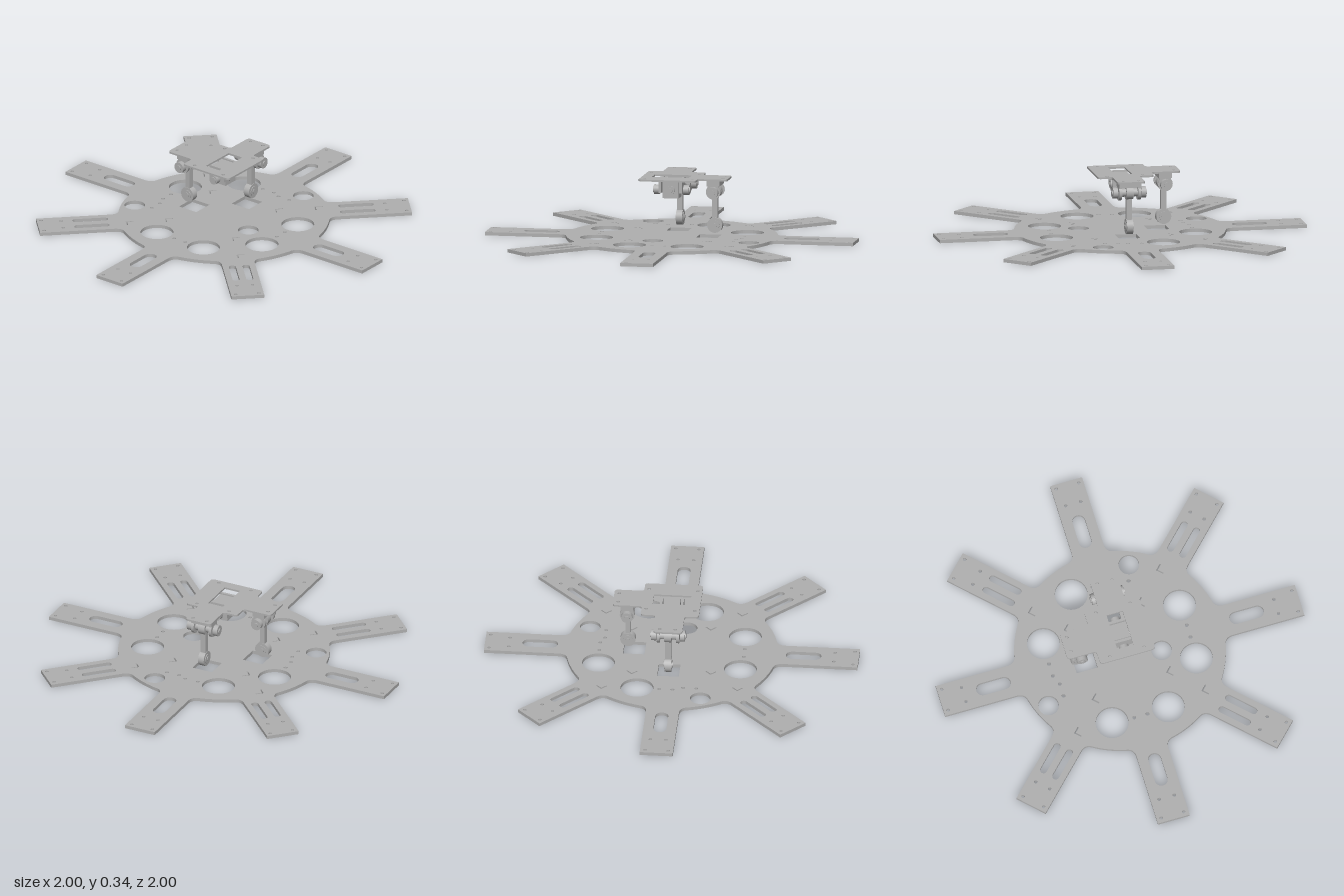
import * as THREE from 'three';

const metal = new THREE.MeshStandardMaterial({ color: 0xb0b0b0 });
metal.name = 'grey metal';

function add(parent, name, geometry, x = 0, y = 0, z = 0) {
  const mesh = new THREE.Mesh(geometry, metal);
  mesh.name = name;
  mesh.position.set(x, y, z);
  parent.add(mesh);
  return mesh;
}

// Flat sheet drawn in x/z, lying between y = 0 and y = thickness
function sheet(shape, thickness) {
  return new THREE.ExtrudeGeometry(shape, { depth: thickness, bevelEnabled: false, curveSegments: 20 })
    .rotateX(Math.PI / 2).translate(0, thickness, 0);
}

const box = (w, h, d) => new THREE.BoxGeometry(w, h, d);
const axleZ = (r, length) => new THREE.CylinderGeometry(r, r, length, 32).rotateX(Math.PI / 2);
const axleX = (r, length) => new THREE.CylinderGeometry(r, r, length, 32).rotateZ(Math.PI / 2);

function hole(shape, x, z, r) {
  const p = new THREE.Path();
  p.absarc(x, z, r, 0, Math.PI * 2, true);
  shape.holes.push(p);
}

function polyHole(shape, points) {
  shape.holes.push(new THREE.Path(points.map(([x, z]) => new THREE.Vector2(x, z))));
}

// Rounded slot running along an arm that points in direction a
function slot(shape, a, from, to, side, r) {
  const at = u => [u * Math.cos(a) - side * Math.sin(a), u * Math.sin(a) + side * Math.cos(a)];
  const p = new THREE.Path();
  p.absarc(...at(to - r), r, a - Math.PI / 2, a + Math.PI / 2, false);
  p.absarc(...at(from + r), r, a + Math.PI / 2, a + Math.PI * 1.5, false);
  p.closePath();
  shape.holes.push(p);
}

// Round base plate with eight arms
function basePlate() {
  const R = 0.565, half = 0.0885, turn = Math.PI / 4;
  const s = new THREE.Shape();
  const neck = Math.sqrt(R * R - half * half);
  const spread = Math.asin(half / R) + 0.07;
  for (let i = 0; i < 8; i++) {
    const a = i * turn;
    const at = (u, v) => [u * Math.cos(a) - v * Math.sin(a), u * Math.sin(a) + v * Math.cos(a)];
    const onRim = t => at(R * Math.cos(t), R * Math.sin(t));
    if (i === 0) s.moveTo(...onRim(-spread));
    s.quadraticCurveTo(...at(neck, -half), ...at(neck + 0.045, -half));
    s.lineTo(...at(1, -half));
    s.lineTo(...at(1, half));
    s.lineTo(...at(neck + 0.045, half));
    s.quadraticCurveTo(...at(neck, half), ...onRim(spread));
    s.absarc(0, 0, R, a + spread, a + turn - spread, false);

    // Slots and screw holes of this arm
    if (i % 2) for (const v of [-0.037, 0.037]) slot(s, a, 0.62, 0.81, v, 0.019);
    else slot(s, a, 0.61, 0.8, 0, 0.035);
    for (const v of [-1, 1]) {
      hole(s, ...at(0.87, v * 0.042), 0.009);
      hole(s, ...at(0.975, v * 0.062), 0.009);
    }
  }
  // Lightening holes
  for (const [x, z] of [[-0.38, -0.158], [0.38, -0.158], [-0.38, 0.155], [0.155, -0.38], [-0.158, 0.378], [0.155, 0.378]])
    hole(s, x, z, 0.088);
  for (const [x, z] of [[-0.19, -0.455], [-0.063, 0.213], [0.453, 0.185]]) hole(s, x, z, 0.055);
  // Small screw holes
  for (const [x, z] of [[-0.16, -0.363], [-0.09, -0.363], [-0.035, -0.385], [0.035, -0.385], [-0.035, 0.382], [0.035, 0.382],
    [-0.387, -0.037], [-0.387, 0.037], [0.387, -0.037], [0.387, 0.037], [0.365, 0.085], [0.365, 0.157]])
    hole(s, x, z, 0.01);
  // Square openings below the two legs
  for (const [x, z] of [[0.2, 0], [0, -0.2]]) {
    const h = 0.058;
    polyHole(s, [[x - h, z - h], [x + h, z - h], [x + h, z + h], [x - h, z + h]]);
  }
  // Fine chevron slits
  for (const [x, z, d] of [[-0.38, -0.34, -1], [-0.225, -0.195, -1], [0.345, -0.38, 1], [0.195, -0.225, 1],
    [0.23, 0.195, 1], [0.38, 0.345, 1], [-0.19, 0.23, -1], [-0.345, 0.38, -1]]) {
    const l = 0.03, w = 0.005;
    polyHole(s, [[x - d * l, z], [x, z - l], [x + d * l, z], [x + d * (l - w), z + w], [x, z - l + 2 * w], [x - d * (l - w), z + w]]);
  }
  return sheet(s, 0.018);
}

// Upper mounting plate: a square with two tabs
function topPlate() {
  const corners = [[-0.155, -0.155], [-0.08, -0.155], [-0.08, -0.315], [0.075, -0.315], [0.075, -0.155], [0.155, -0.155],
    [0.155, -0.075], [0.312, -0.075], [0.312, 0.075], [0.155, 0.075], [0.155, 0.15], [-0.155, 0.15]]
    .map(c => new THREE.Vector2(...c));
  const s = new THREE.Shape(), n = corners.length, r = 0.02;
  corners.forEach((c, i) => {
    const a = corners[(i + n - 1) % n].clone().sub(c).setLength(r).add(c);
    const b = corners[(i + 1) % n].clone().sub(c).setLength(r).add(c);
    if (i) s.lineTo(a.x, a.y); else s.moveTo(a.x, a.y);
    s.quadraticCurveTo(c.x, c.y, b.x, b.y);
  });
  s.closePath();
  for (const x of [-0.13, 0.13]) for (const z of [-0.096, 0.096]) hole(s, x, z, 0.009);
  for (const v of [-0.041, 0.041]) {
    hole(s, v, -0.285, 0.009);
    hole(s, 0.285, v, 0.009);
  }
  polyHole(s, [[-0.1, -0.045], [0.1, -0.045], [0.1, 0.045], [-0.1, 0.045]]);
  return sheet(s, 0.01);
}

// Hanging leg with a hinge at the top and a roller at the foot
function leg(name) {
  const g = new THREE.Group();
  g.name = name;
  const x = 0.235, y = 0.265;
  add(g, 'hingeMount', box(0.07, 0.03, 0.12), x, 0.311);
  for (const s of [-1, 1]) {
    add(g, 'hingeEar', box(0.06, 0.06, 0.016), x, 0.29, s * 0.052);
    add(g, 'earDisc', axleZ(0.04, 0.016), x, y, s * 0.052);
    add(g, 'hingeCap', axleZ(0.03, 0.026), x, y, s * 0.077);
    add(g, 'hingeBolt', axleZ(0.014, 0.008), x, y, s * 0.092);
  }
  add(g, 'hingeAxle', axleZ(0.022, 0.12), x, y);
  add(g, 'hingeHub', axleZ(0.037, 0.038), x, y);
  add(g, 'legBar', box(0.028, 0.16, 0.03), x, 0.172);
  add(g, 'footRoller', axleZ(0.041, 0.035), x, 0.08);
  add(g, 'rollerBearing', axleZ(0.026, 0.042), x, 0.08);
  add(g, 'rollerBolt', axleZ(0.012, 0.05), x, 0.08);
  return g;
}

// Central pivot block with its cross shaft
function centrePivot() {
  const g = new THREE.Group();
  g.name = 'centrePivot';
  add(g, 'pivotBlock', box(0.088, 0.1, 0.088), 0, 0.272);
  add(g, 'crossShaft', axleX(0.018, 0.2), 0, 0.263);
  for (const s of [-1, 1]) {
    add(g, 'shaftCollar', axleX(0.026, 0.03), s * 0.08, 0.263);
    add(g, 'shaftBracket', box(0.014, 0.075, 0.1), s * 0.056, 0.289);
    add(g, 'faceBoss', axleZ(0.025, 0.012), 0, 0.265, s * 0.048);
    add(g, 'faceBolt', axleZ(0.012, 0.014), 0, 0.265, s * 0.052);
  }
  return g;
}

export function createModel() {
  const model = new THREE.Group();
  model.name = 'armedPlateWithLegs';
  add(model, 'basePlate', basePlate());
  add(model, 'topPlate', topPlate(), 0, 0.326);
  model.add(centrePivot(), leg('leftLeg'));
  const backLeg = leg('backLeg');
  backLeg.rotation.y = Math.PI / 2;
  model.add(backLeg);
  return model;
}
